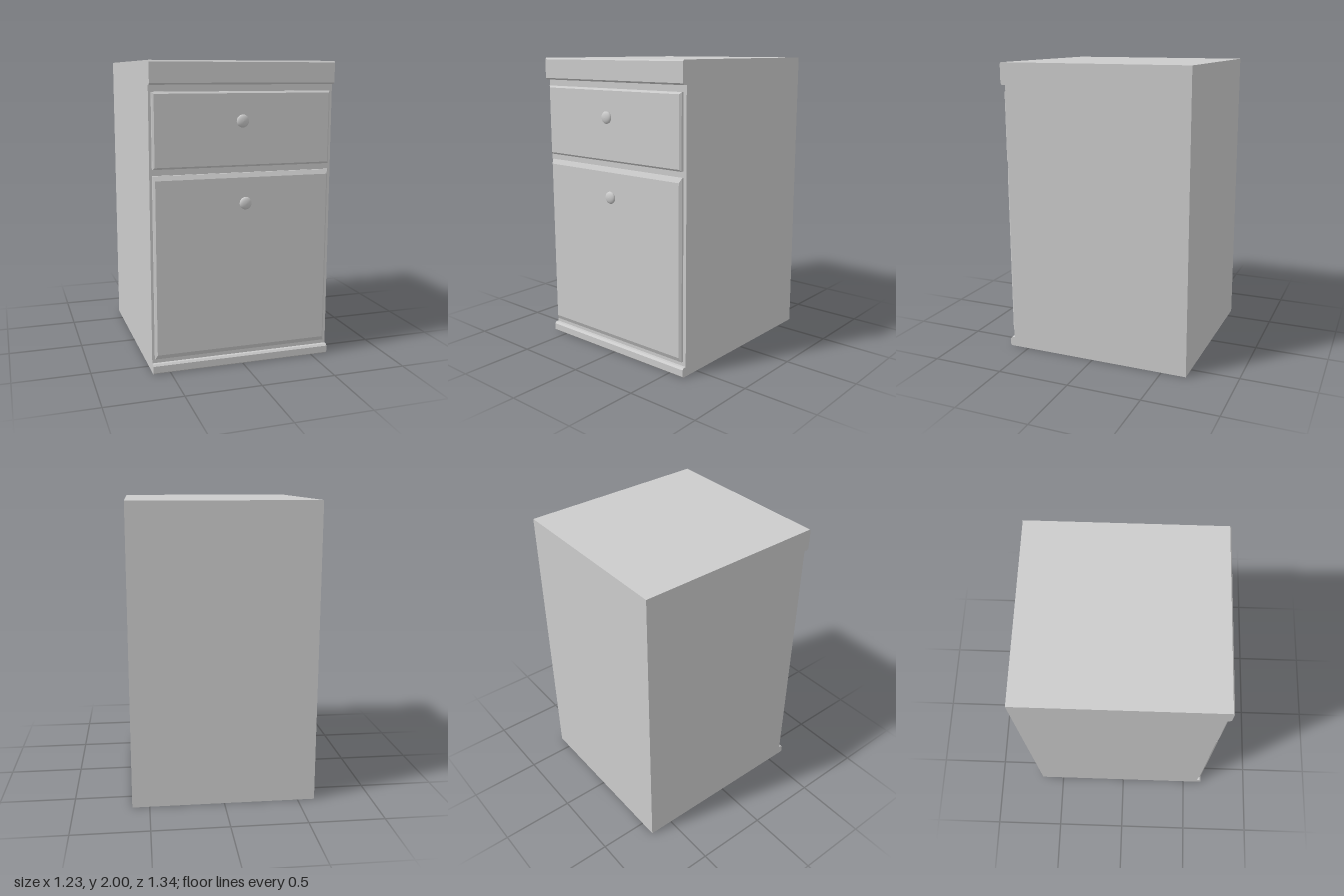
import * as THREE from 'three';

const HALF_W = 0.615;
const FRONT = 0.61;
const material = new THREE.MeshStandardMaterial({ color: 0xcccccc });

function addMesh(parent, name, geometry) {
  const mesh = new THREE.Mesh(geometry, material);
  mesh.name = name;
  parent.add(mesh);
  return mesh;
}

// Side profile (z, y) swept across the full width
function carcassGeometry() {
  const profile = [
    [-0.67, 0], [0.634, 0], [0.642, 0.008], [0.642, 0.053], [0.63, 0.065],
    [FRONT, 0.065], [FRONT, 1.852], [0.634, 1.852], [0.645, 1.863],
    [0.645, 1.99], [0.637, 2], [-0.67, 2],
  ];
  const shape = new THREE.Shape(profile.map(([z, y]) => new THREE.Vector2(z, y)));
  const g = new THREE.ExtrudeGeometry(shape, { depth: HALF_W * 2, bevelEnabled: false });
  return g.rotateY(-Math.PI / 2).translate(HALF_W, 0, 0);
}

// Slab whose front face is drawn in to form a bevelled border
function panelGeometry(width, height, bevelX, bevelY, bevelZ) {
  const depth = 0.028;
  const box = new THREE.BoxGeometry(width, height, depth, 1, 1, 2);
  const p = box.attributes.position;
  for (let i = 0; i < p.count; i++) {
    if (p.getZ(i) > 0.001) {
      p.setX(i, p.getX(i) - Math.sign(p.getX(i)) * bevelX);
      p.setY(i, p.getY(i) - Math.sign(p.getY(i)) * bevelY);
    } else if (p.getZ(i) > -0.001) {
      p.setZ(i, depth / 2 - bevelZ);
    }
  }
  const g = box.toNonIndexed();
  g.computeVertexNormals();
  return g.translate(0, 0, FRONT + depth / 2);
}

// Flattened round knob on a short stem
function knobGeometry() {
  const points = [[0.015, -0.025], [0.015, -0.016]];
  for (let i = 1; i <= 10; i++) {
    const a = -Math.PI / 2 + 0.38 + (i - 1) / 9 * (Math.PI - 0.38);
    points.push([Math.max(0, 0.041 * Math.cos(a)), 0.018 * Math.sin(a)]);
  }
  const profile = points.map(([r, y]) => new THREE.Vector2(r, y));
  return new THREE.LatheGeometry(profile, 32).rotateX(Math.PI / 2);
}

export function createModel() {
  const model = new THREE.Group();
  model.name = 'cabinet';
  addMesh(model, 'carcass', carcassGeometry());

  const fronts = [
    { name: 'drawer', y0: 1.333, y1: 1.81, bevel: [0.012, 0.012, 0.01], knob: [-0.018, 1.625] },
    { name: 'door', y0: 0.095, y1: 1.293, bevel: [0.014, 0.03, 0.014], knob: [0.005, 1.098] },
  ];
  for (const { name, y0, y1, bevel, knob } of fronts) {
    const group = new THREE.Group();
    group.name = name;
    const panel = addMesh(group, name + 'Panel', panelGeometry(1.19, y1 - y0, ...bevel));
    panel.position.set(-0.003, (y0 + y1) / 2, 0);
    addMesh(group, name + 'Knob', knobGeometry()).position.set(knob[0], knob[1], 0.654);
    model.add(group);
  }
  return model;
}
